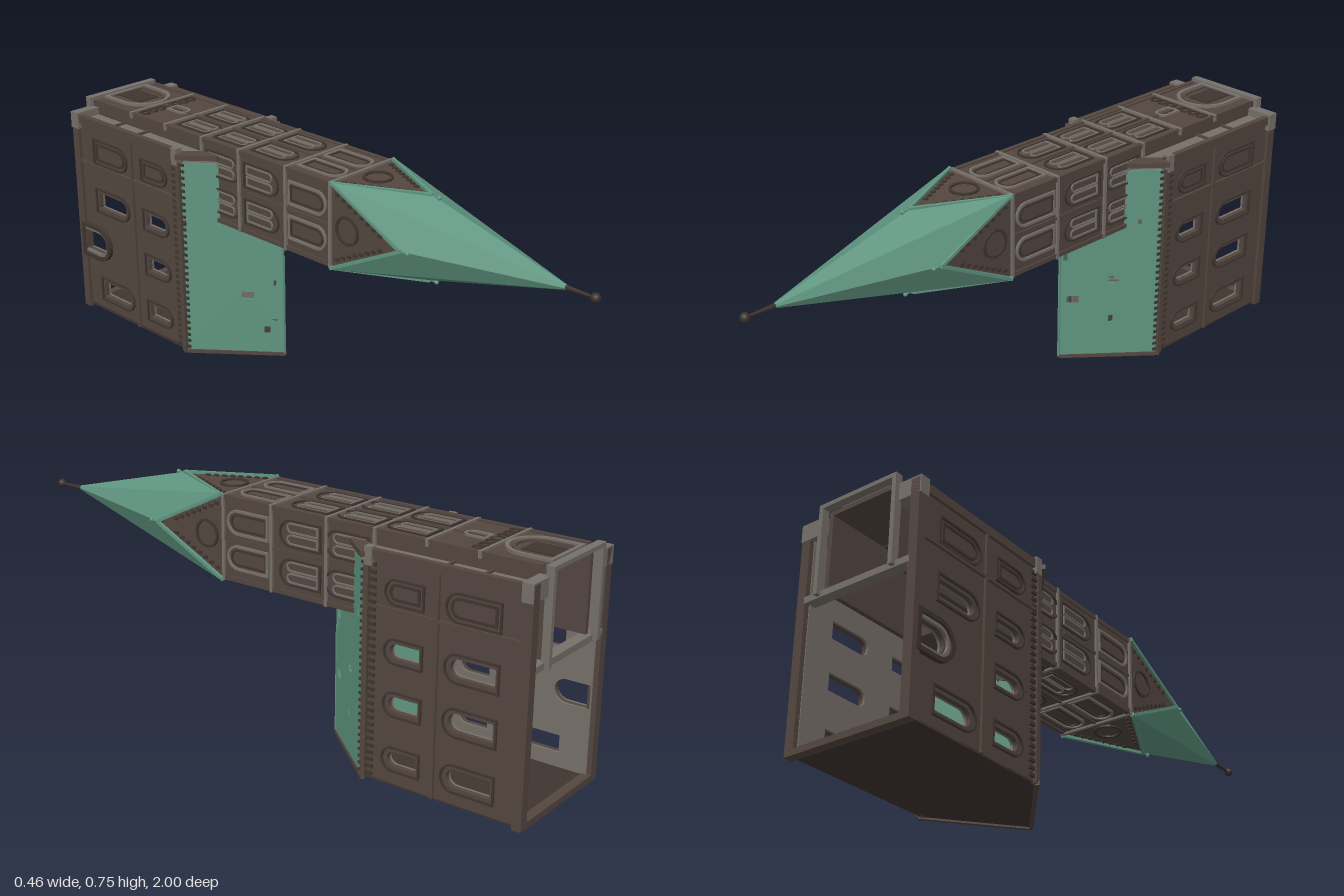
import * as THREE from 'three';

const mat = (name, color, extra = {}) => {
  const m = new THREE.MeshStandardMaterial({ color, ...extra });
  m.name = name;
  return m;
};

export function createModel() {
  const brown = mat('brown stone', 0x53463f);
  const dark = mat('dark stone', 0x3f3530);
  const grey = mat('grey stone', 0x77706a);
  const green = mat('green copper', 0x5f9580, { side: THREE.DoubleSide, flatShading: true });
  const iron = mat('dark iron', 0x3a302d);

  const model = new THREE.Group();
  model.name = 'church lying on its back';
  const CY = 0.605, T = 0.13; // tower axis height and half width

  const add = (name, geo, m, parent = model) => {
    const mesh = new THREE.Mesh(geo, m);
    mesh.name = name;
    parent.add(mesh);
    return mesh;
  };
  // box given by its limits on each axis
  const box = (name, m, x0, x1, y0, y1, z0, z1, parent = model) => {
    const b = add(name, new THREE.BoxGeometry(Math.abs(x1 - x0), Math.abs(y1 - y0), Math.abs(z1 - z0)), m, parent);
    b.position.set((x0 + x1) / 2, (y0 + y1) / 2, (z0 + z1) / 2);
    return b;
  };
  // square bar between two points
  const bar = (name, m, a, b, w, t = w) => {
    const p = new THREE.Vector3(...a), q = new THREE.Vector3(...b);
    const mesh = add(name, new THREE.BoxGeometry(w, t, p.distanceTo(q)), m);
    mesh.position.copy(p).lerp(q, 0.5);
    mesh.lookAt(q);
    return mesh;
  };
  const extrude = (shape, depth) =>
    new THREE.ExtrudeGeometry(shape, { depth, bevelEnabled: false, curveSegments: 8 });
  const poly = (pts, C = THREE.Shape) => new C(pts.map(p => new THREE.Vector2(...p)));
  const rect = (x0, x1, y0, y1, C) => poly([[x0, y0], [x1, y0], [x1, y1], [x0, y1]], C);
  const arch = (cx, base, w, h, C = THREE.Shape) => {
    const s = new C();
    s.moveTo(cx - w / 2, base);
    s.lineTo(cx + w / 2, base);
    s.lineTo(cx + w / 2, base + h - w / 2);
    s.absarc(cx, base + h - w / 2, w / 2, 0, Math.PI, false);
    s.lineTo(cx - w / 2, base);
    return s;
  };
  const archRing = (cx, base, w, h, t) => {
    const s = arch(cx, base, w, h);
    s.holes.push(arch(cx, base + t, w - 2 * t, h - 2 * t, THREE.Path));
    return s;
  };
  // wall frame: local y runs along +z, local z points outward along (nx, ny)
  const face = (name, nx, ny, px, py) => {
    const g = new THREE.Group();
    g.name = name;
    const n = new THREE.Vector3(nx, ny, 0), up = new THREE.Vector3(0, 0, 1);
    g.quaternion.setFromRotationMatrix(new THREE.Matrix4().makeBasis(up.clone().cross(n), up, n));
    g.position.set(px, py, 0);
    model.add(g);
    return g;
  };

  // nave side walls with arched openings, frames and mouldings
  const rows = [0.09, 0.26, 0.42, 0.595];
  for (const s of [1, -1]) {
    const wall = face(s > 0 ? 'leftNaveWall' : 'rightNaveWall', s, 0, 0, 0);
    const ys = (a, b) => [Math.min(s * a, s * b), Math.max(s * a, s * b)];
    const outer = rect(...ys(0.01, 0.7), -0.97, -0.45);
    const lining = rect(...ys(0.015, 0.66), -0.97, -0.45);
    for (const y of rows) for (const [z, h, w] of [[-0.64, 0.12, 0.065], [-0.885, 0.165, 0.075]]) {
      if (s < 0 && y === 0.26 && h > 0.15) { // side door
        add('sideDoorFrame', extrude(archRing(s * y, -0.97, 0.125, 0.15, 0.014), 0.015), dark, wall).position.z = 0.205;
        add('sideDoorInnerFrame', extrude(archRing(s * y, -0.97, 0.095, 0.135, 0.01), 0.009), grey, wall).position.z = 0.205;
        outer.holes.push(arch(s * y, -0.965, 0.075, 0.115, THREE.Path));
        lining.holes.push(arch(s * y, -0.965, 0.075, 0.115, THREE.Path));
        continue;
      }
      add('windowFrame', extrude(archRing(s * y, z - 0.006, w + 0.014, h + 0.012, 0.006), 0.006), dark, wall).position.z = 0.205;
      if (y > 0.5) {
        add('blindWindow', extrude(archRing(s * y, z + 0.008, w - 0.014, h - 0.018, 0.008), 0.004), dark, wall).position.z = 0.205;
        continue;
      }
      for (const o of [outer, lining])
        o.holes.push(arch(s * y, z + 0.008, w - 0.02, h - 0.022, THREE.Path));
    }
    add('naveWall', extrude(outer, 0.015), brown, wall).position.z = 0.19;
    add('wallLining', extrude(lining, 0.008), grey, wall).position.z = 0.182;

    box('stringCourse', brown, s * 0.2, s * 0.213, 0.01, 0.7, -0.695, -0.685);
    box('verticalRib', brown, s * 0.2, s * 0.213, 0.538, 0.548, -0.96, -0.45);
    box('cornice', brown, s * 0.195, s * 0.216, 0.005, 0.67, -0.462, -0.445);
    box('plinth', brown, s * 0.185, s * 0.216, 0.005, 0.71, -0.985, -0.955);
    for (let i = 0; i < 30; i++) {
      const y = 0.02 + i * 0.022;
      box('corniceTooth', dark, s * 0.204, s * 0.212, y, y + 0.01, -0.485, -0.462);
      box('eavePeg', dark, s * 0.203, s * 0.209, y, y + 0.008, -0.445, -0.432);
    }

    // facade wings beside the tower
    const wing = face('facadeWing', 0, 1, 0, 0.66);
    const pts = [[-s * T, -0.96], [-s * 0.2, -0.96], [-s * 0.2, -0.46], [-s * T, -0.375]];
    add('wingWall', extrude(poly(pts), 0.03), grey, wing);
    bar('wingCoping', brown, [s * 0.212, 0.69, -0.46], [s * 0.125, 0.69, -0.358], 0.045, 0.016);
    for (const z of [-0.69, -0.81]) box('wingBand', brown, s * T, s * 0.206, 0.685, 0.697, z - 0.004, z + 0.004);
    box('wingPilaster', brown, s * 0.195, s * 0.214, 0.68, 0.708, -0.96, -0.45);
    box('wingFoot', grey, s * T, s * 0.22, 0.66, 0.715, -0.985, -0.95);
    box('wingCap', grey, s * 0.195, s * 0.22, 0.66, 0.715, -0.475, -0.45);
    box('entranceJamb', grey, s * 0.128, s * 0.142, 0.46, 0.745, -1, -0.975);
  }

  // nave end wall
  const endWall = face('naveEnd', 0, -1, 0, 0.016);
  add('endGable', extrude(poly([[-0.205, -0.97], [0.205, -0.97], [0.205, -0.455], [0, -0.207], [-0.205, -0.455]]), 0.01), dark, endWall);
  box('endPlinth', brown, -0.216, 0.216, 0, 0.02, -0.985, -0.955);
  for (const s of [1, -1]) bar('endCoping', brown, [s * 0.214, 0.006, -0.455], [0, 0.006, -0.2], 0.012);

  // pitched copper roof with broken holes, given as x0, x1, y0, y1
  const holes = [
    [0.004, 0.03, 0.396, 0.425], [0.004, 0.013, 0.358, 0.392], [0.012, 0.037, 0.204, 0.23],
    [0.098, 0.12, 0.276, 0.286], [0.098, 0.109, 0.288, 0.3], [0.1, 0.109, 0.131, 0.155],
    [-0.085, -0.06, 0.204, 0.228], [-0.04, -0.027, 0.08, 0.105], [-0.025, -0.01, 0.126, 0.131],
    [-0.019, -0.013, 0.252, 0.272], [-0.203, -0.195, 0.45, 0.472], [0.155, 0.162, 0.478, 0.498],
  ];
  const L = Math.hypot(0.21, 0.255), k = L / 0.21;
  for (const s of [1, -1]) {
    const shape = s > 0 ? rect(0, L, 0.008, 0.668) : rect(-L, 0, 0.008, 0.668);
    for (const [a, b, c, d] of holes) if (a * s > 0) shape.holes.push(rect(a * k, b * k, c, d, THREE.Path));
    const slope = add('roofSlope', extrude(shape, 0.005), green);
    const X = new THREE.Vector3(0.21, 0, -s * 0.255).normalize(), Y = new THREE.Vector3(0, 1, 0);
    slope.quaternion.setFromRotationMatrix(new THREE.Matrix4().makeBasis(X, Y, X.clone().cross(Y)));
    slope.position.z = -0.203;
  }
  bar('ridgeCap', green, [-0.001, 0.006, -0.2], [-0.001, 0.36, -0.2], 0.008);
  bar('ridgeCapUpper', green, [-0.004, 0.36, -0.2], [0, 0.475, -0.2], 0.008);

  // tower shaft, open underneath
  for (const s of [1, -1]) box('towerSide', brown, s * 0.115, s * T, CY - T, CY + T, -0.97, 0.14);
  box('towerFront', brown, -T, T, CY + T - 0.015, CY + T, -0.97, 0.14);
  box('towerBack', brown, -T, T, CY - T, CY - T + 0.015, -0.62, 0.14);
  box('towerCeiling', brown, -0.12, 0.12, CY - T, CY + T - 0.01, -0.63, -0.61);
  box('crossBeam', grey, -0.19, 0.19, 0.455, 0.475, -0.985, -0.95);
  box('entranceLedge', grey, -0.142, 0.142, 0.732, 0.745, -1, -0.975);
  for (const z of [0.137, -0.05, -0.255, -0.425])
    box('towerBand', grey, -T - 0.007, T + 0.007, CY - T - 0.007, CY + T + 0.007, z - 0.005, z + 0.005);
  for (const z of [-0.6, -0.77])
    box('frontBand', grey, -T - 0.007, T + 0.007, 0.72, CY + T + 0.007, z - 0.005, z + 0.005);

  // tower faces: arched windows, corner strips and gables
  for (const [name, nx, ny] of [['front', 0, 1], ['back', 0, -1], ['left', 1, 0], ['right', -1, 0]]) {
    const f = face(name + 'TowerFace', nx, ny, nx * T, CY + ny * T);
    const ring = (cx, z, w, h, t, d, m) => add('towerWindow', extrude(archRing(cx, z, w, h, t), d), m, f);
    const low = ny === 1 ? -0.96 : -0.42;
    for (const u of [-1, 1]) {
      box('cornerStrip', brown, u * 0.12, u * 0.134, low, 0.14, 0, 0.005, f);
      ring(u * 0.056, -0.038, 0.08, 0.16, 0.008, 0.006, grey);
      ring(u * 0.056, -0.03, 0.052, 0.138, 0.006, 0.004, dark);
      for (const z of ny === 1 ? [-0.235, -0.405, -0.58] : [-0.235, -0.405]) {
        ring(u * 0.06, z, 0.085, 0.155, 0.006, 0.005, dark);
        for (const v of [-1, 1]) ring(u * 0.06 + v * 0.018, z + 0.012, 0.032, 0.115, 0.005, 0.004, grey);
      }
    }
    box('middleRib', brown, -0.005, 0.005, low + 0.2, 0.13, 0, 0.005, f);
    if (ny === 1) {
      ring(0, -0.965, 0.18, 0.185, 0.012, 0.009, grey);
      ring(0, -0.96, 0.14, 0.16, 0.01, 0.006, brown);
      box('entranceDoor', dark, -0.04, 0.04, -0.96, -0.84, 0, 0.004, f);
      ring(0, -0.72, 0.05, 0.08, 0.008, 0.006, grey);
      for (let i = -3; i <= 3; i++) ring(i * 0.033, -0.758, 0.03, 0.035, 0.005, 0.005, dark);
    }
    // gable with round window and stepped teeth
    const gable = add('gable', extrude(poly([[-T, 0.14], [T, 0.14], [0, 0.405]]), 0.012), brown, f);
    gable.position.z = -0.012;
    const round = new THREE.Shape().absarc(0, 0.205, 0.046, 0, Math.PI * 2);
    round.holes.push(new THREE.Path().absarc(0, 0.205, 0.038, 0, Math.PI * 2));
    add('roundWindow', extrude(round, 0.006), dark, f);
    for (let i = 1; i < 9; i++) for (const u of [-1, 1]) {
      const x = u * (T - 0.016) * (1 - i / 10), z = 0.14 + 0.24 * i / 10;
      box('gableTooth', dark, x - 0.005, x + 0.005, z - 0.006, z + 0.008, 0, 0.005, f);
    }
    // copper rake trims with rivets and a small finial
    for (const u of [-1, 1]) {
      const a = [nx * 0.134 + ny * u * 0.138, CY + ny * 0.134 + nx * u * 0.138, 0.14];
      const b = [nx * 0.134, CY + ny * 0.134, 0.413];
      bar('rakeTrim', green, a, b, 0.01);
      for (let i = 1; i < 6; i++) {
        const t = i / 6, rivet = add('rivet', new THREE.SphereGeometry(0.004, 6, 4), green);
        rivet.position.set(...a.map((v, j) => v + (b[j] - v) * t));
        rivet.position.x -= nx * 0.012;
        rivet.position.y -= ny * 0.012;
        rivet.position.z += 0.022;
      }
    }
    bar('gableFinial', green, [nx * 0.132, CY + ny * 0.132, 0.4], [nx * 0.132, CY + ny * 0.132, 0.437], 0.004);
    add('gableFinialKnob', new THREE.SphereGeometry(0.007, 8, 6), green)
      .position.set(nx * 0.132, CY + ny * 0.132, 0.439);
  }

  // folded spire: four gable peaks and four corners meet at the tip
  const tip = [0, CY, 0.92], tris = [];
  const at = i => {
    const r = i % 2 ? 0.14 * Math.SQRT2 : 0.134, a = i * Math.PI / 4;
    return [r * Math.cos(a), CY + r * Math.sin(a), i % 2 ? 0.14 : 0.412];
  };
  for (let i = 0; i < 8; i++) tris.push(...tip, ...at(i), ...at(i + 1));
  const spire = new THREE.BufferGeometry();
  spire.setAttribute('position', new THREE.Float32BufferAttribute(tris, 3));
  spire.computeVertexNormals();
  add('spire', spire, green);
  const rod = add('spireRod', new THREE.CylinderGeometry(0.004, 0.008, 0.1, 10), iron);
  rod.rotation.x = Math.PI / 2;
  rod.position.set(0, CY, 0.93);
  add('spireBall', new THREE.SphereGeometry(0.015, 16, 12), iron).position.set(0, CY, 0.985);

  return model;
}
